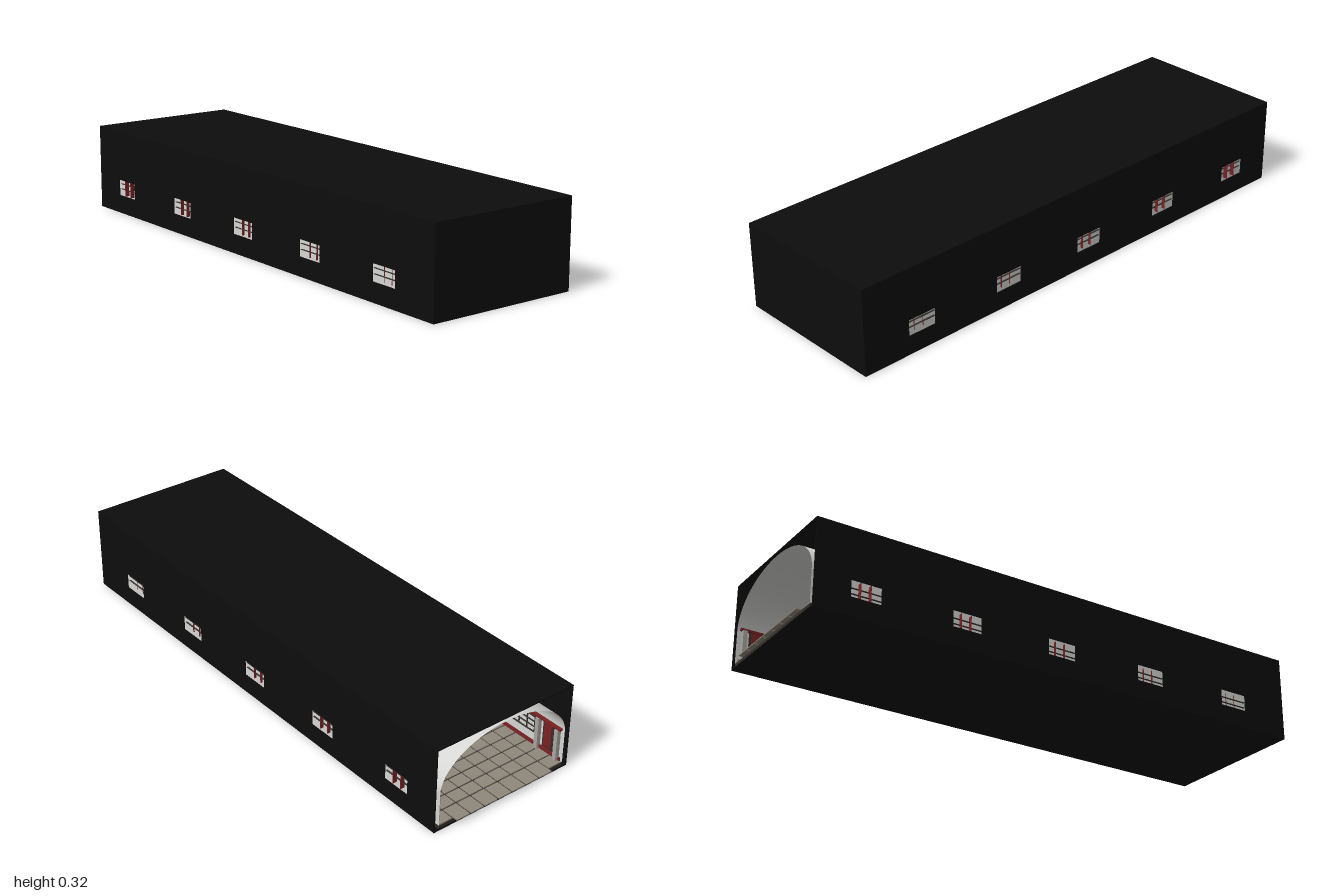
import * as THREE from 'three';
import { mergeGeometries } from 'three/addons/utils/BufferGeometryUtils.js';

const X0 = -0.985, X1 = 1, LEN = X1 - X0, MID = (X0 + X1) / 2;
const H = 0.325, ZH = 0.297, T = 0.004; // shell height, half depth, sheet thickness
const WALL_Z = 0.276, SPRING = 0.145, RISE = 0.165; // inner hall
const FLOOR_Y = 0.02;
const WINDOWS = [0, 1, 2, 3, 4].map(i => -0.7925 + i * 0.3875);
const WIN_W = 0.114, WIN_Y0 = 0.07, WIN_Y1 = 0.132;

function material(name, color, double = false) {
  const m = new THREE.MeshStandardMaterial({ color });
  m.name = name;
  if (double) m.side = THREE.DoubleSide;
  return m;
}

const box = (w, h, d, x, y, z) => new THREE.BoxGeometry(w, h, d).translate(x, y, z);

export function createModel() {
  const black = material('black', 0x0d0d0d);
  const plaster = material('plaster', 0xd6d6d4, true);
  const stone = material('stone', 0x8f877b);
  const grout = material('grout', 0x35312d);
  const red = material('red', 0x7a2224);
  const grey = material('grey', 0xa9a6a1);

  const model = new THREE.Group();
  const add = (name, geometry, mat, parent = model) => {
    const mesh = new THREE.Mesh(geometry, mat);
    mesh.name = name;
    parent.add(mesh);
    return mesh;
  };

  // Outer shell, open at the -x end
  add('roof', box(LEN, T, ZH * 2, MID, H - T / 2, 0), black);
  add('base', box(LEN, T, ZH * 2, MID, T / 2, 0), black);
  add('closedEnd', box(T, H - 2 * T, ZH * 2, X1 - T / 2, H / 2, 0), black);

  // Long outer walls with five window openings
  const wall = new THREE.Shape();
  wall.moveTo(X0, T).lineTo(X1, T).lineTo(X1, H - T).lineTo(X0, H - T).closePath();
  for (const x of WINDOWS) {
    const hole = new THREE.Path();
    const a = x - WIN_W / 2, b = x + WIN_W / 2;
    hole.moveTo(a, WIN_Y0).lineTo(a, WIN_Y1).lineTo(b, WIN_Y1).lineTo(b, WIN_Y0).closePath();
    wall.holes.push(hole);
  }
  const wallGeometry = new THREE.ExtrudeGeometry(wall, { depth: T, bevelEnabled: false });
  add('frontWall', wallGeometry.clone().translate(0, 0, ZH - T), black);
  add('backWall', wallGeometry.clone().translate(0, 0, -ZH), black);

  // Inner lining: straight walls that run into an elliptical vault
  const lining = new THREE.Path();
  lining.moveTo(WALL_Z, FLOOR_Y).lineTo(WALL_Z, SPRING);
  lining.absellipse(0, SPRING, WALL_Z, RISE, 0, Math.PI, false);
  lining.lineTo(-WALL_Z, FLOOR_Y);
  const profile = lining.getPoints(32);
  const positions = [], index = [];
  profile.forEach((p, i) => {
    positions.push(X0 + 0.001, p.y, p.x, X1 - 2 * T, p.y, p.x);
    if (i) index.push(2 * i - 2, 2 * i - 1, 2 * i, 2 * i - 1, 2 * i + 1, 2 * i);
  });
  const vault = new THREE.BufferGeometry();
  vault.setAttribute('position', new THREE.Float32BufferAttribute(positions, 3));
  vault.setIndex(index);
  vault.computeVertexNormals();
  add('vaultAndWalls', vault, plaster);

  // Inner end wall
  const endWall = new THREE.Shape(profile.map(p => new THREE.Vector2(p.x, p.y)));
  add('innerEndWall', new THREE.ShapeGeometry(endWall, 8)
    .rotateY(-Math.PI / 2).translate(X1 - 2 * T, 0, 0), plaster);

  // Floor bed and paving, whose middle rows reach past the open end
  add('floorBed', box(LEN - 2 * T, 0.012, WALL_Z * 2, MID - T / 2, 0.012, 0), grout);
  const tiles = [];
  const rows = 9, columns = 36, stepZ = WALL_Z * 2 / rows, stepX = (LEN - T) / columns;
  for (let r = 0; r < rows; r++) {
    for (let c = 0; c < columns; c++) {
      const x = X0 + (c + 0.5) * stepX;
      tiles.push(box(stepX - 0.006, 0.004, stepZ - 0.006, x, FLOOR_Y, -WALL_Z + (r + 0.5) * stepZ));
    }
  }
  add('floorTiles', mergeGeometries(tiles), stone);
  const lips = [];
  for (let r = 1; r < rows - 1; r++) {
    lips.push(box(0.018, 0.004, stepZ - 0.006, -0.991, FLOOR_Y, -WALL_Z + (r + 0.5) * stepZ));
  }
  add('thresholdTiles', mergeGeometries(lips), stone);

  // Fittings repeated on both long sides
  for (const s of [1, -1]) {
    const side = new THREE.Group();
    side.name = s > 0 ? 'frontSide' : 'backSide';
    model.add(side);
    const inside = s * (WALL_Z - 0.003), gapZ = d => s * (WALL_Z + d / 2);
    const yc = (WIN_Y0 + WIN_Y1) / 2, wh = WIN_Y1 - WIN_Y0;

    const mullions = [], bars = [], lattice = [];
    WINDOWS.forEach((x, i) => {
      // Upright fins get shallower towards the closed end
      const depth = 0.017 - i * 0.004;
      for (const k of [-1, 1]) {
        mullions.push(box(0.002, wh, depth, x + k * WIN_W / 6, yc, gapZ(depth)));
        bars.push(box(WIN_W + 0.02, 0.002, 0.006, x, yc + k * wh / 6, gapZ(0.006)));
        lattice.push(box(WIN_W, 0.003, 0.004, x, yc + k * wh / 6, inside));
        lattice.push(box(WIN_W, 0.004, 0.004, x, yc + k * wh / 2, inside));
        lattice.push(box(0.004, wh, 0.004, x + k * WIN_W / 2, yc, inside));
        lattice.push(box(0.003, wh, 0.004, x + k * WIN_W / 6, yc, inside));
      }
    });
    add('windowMullions', mergeGeometries(mullions), red, side);
    add('windowBars', mergeGeometries(bars), grout, side);
    add('innerWindowLattice', mergeGeometries(lattice), grout, side);

    // Red hangings in dark frames, flanked by pilasters
    const hangings = [], frames = [], pilasters = [];
    for (const x of [X0 + 0.07, ...WINDOWS.slice(0, 4).map(w => w + 0.194), X1 - 0.07]) {
      frames.push(box(0.05, 0.115, 0.004, x, 0.095, inside));
      hangings.push(box(0.034, 0.1, 0.006, x, 0.095, inside - s * 0.002));
      for (const k of [-1, 1]) {
        pilasters.push(box(0.016, SPRING - FLOOR_Y, 0.016, x + k * 0.045, (SPRING + FLOOR_Y) / 2, s * (WALL_Z - 0.009)));
      }
    }
    add('hangingFrames', mergeGeometries(frames), grout, side);
    add('hangings', mergeGeometries(hangings), red, side);
    add('pilasters', mergeGeometries(pilasters), grey, side);

    // Skirting and cornice
    add('skirting', box(LEN - 0.02, 0.012, 0.006, MID, FLOOR_Y + 0.008, s * (WALL_Z - 0.004)), red, side);
    add('cornice', box(LEN - 0.02, 0.008, 0.012, MID, SPRING + 0.004, s * (WALL_Z - 0.007)), red, side);
  }
  return model;
}
